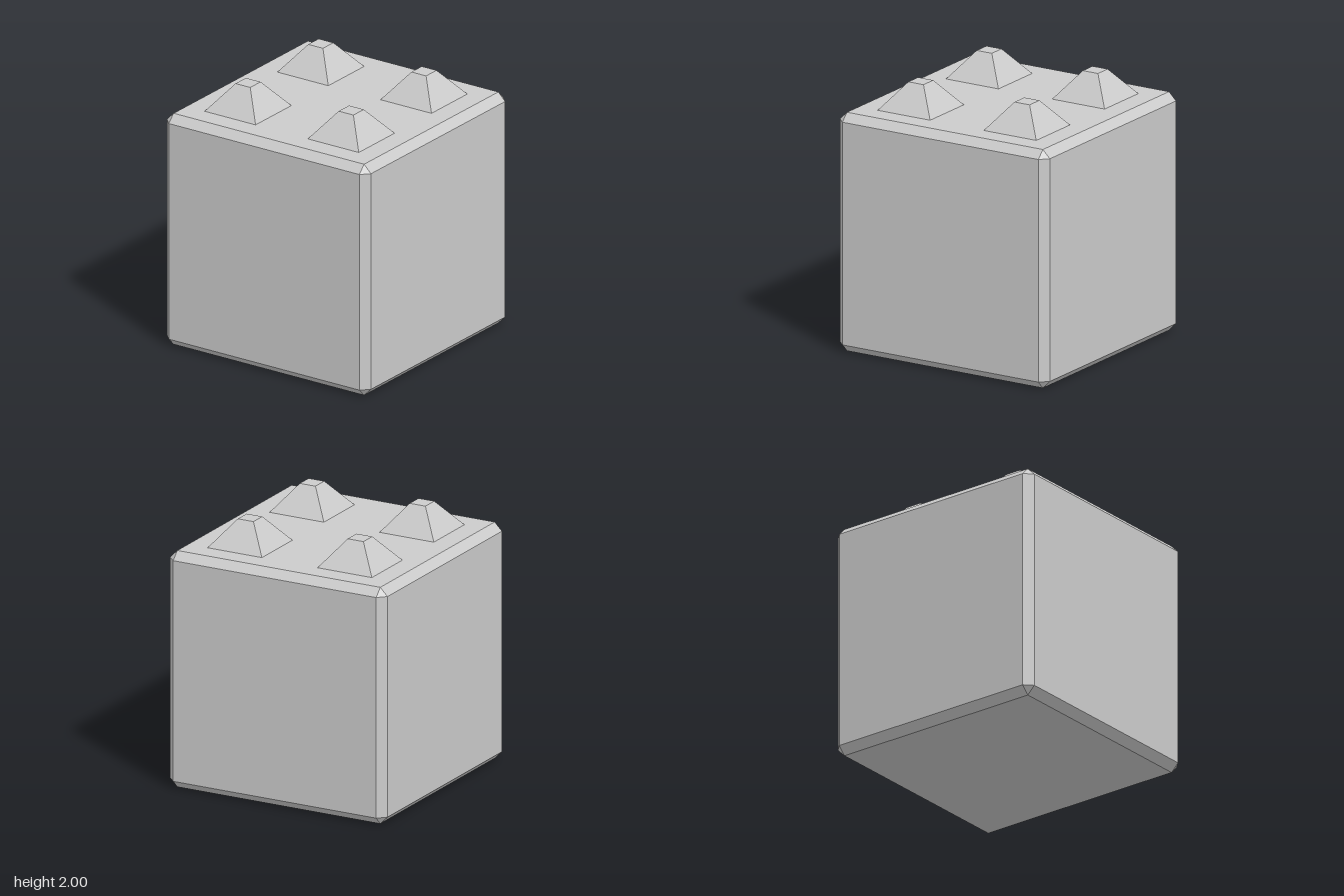
import * as THREE from 'three';
import { ConvexGeometry } from 'three/addons/geometries/ConvexGeometry.js';

const HALF = 0.9;        // half the cube's width
const INNER = 0.84;      // half the width of each flat face, inside the chamfers
const STUD_OFFSET = 0.455;
const STUD_HEIGHT = 0.2;

// Cube with every edge and corner chamfered: each corner becomes three points
function chamferedCube(half, inner) {
  const points = [];
  for (const x of [-1, 1]) for (const y of [-1, 1]) for (const z of [-1, 1]) {
    points.push(
      new THREE.Vector3(x * half, y * inner, z * inner),
      new THREE.Vector3(x * inner, y * half, z * inner),
      new THREE.Vector3(x * inner, y * inner, z * half)
    );
  }
  return new ConvexGeometry(points);
}

// Square pyramid with its tip cut off
function squareFrustum(topWidth, baseWidth, height) {
  const geometry = new THREE.CylinderGeometry(topWidth * Math.SQRT1_2, baseWidth * Math.SQRT1_2, height, 4);
  return geometry.rotateY(Math.PI / 4);
}

export function createModel() {
  const model = new THREE.Group();
  model.name = 'studdedBlock';
  const material = new THREE.MeshStandardMaterial({ color: 0xcccccc, flatShading: true });

  // Main block, standing on the ground
  const block = new THREE.Mesh(chamferedCube(HALF, INNER), material);
  block.name = 'block';
  block.position.y = HALF;
  model.add(block);

  // Four tapered studs on top
  const studs = new THREE.Group();
  studs.name = 'studs';
  const studGeometry = squareFrustum(0.13, 0.45, STUD_HEIGHT);
  for (const x of [-1, 1]) for (const z of [-1, 1]) {
    const stud = new THREE.Mesh(studGeometry, material);
    stud.name = `${z > 0 ? 'front' : 'back'}${x > 0 ? 'Left' : 'Right'}Stud`;
    stud.position.set(x * STUD_OFFSET, 2 * HALF + STUD_HEIGHT / 2, z * STUD_OFFSET);
    studs.add(stud);
  }
  model.add(studs);

  return model;
}
